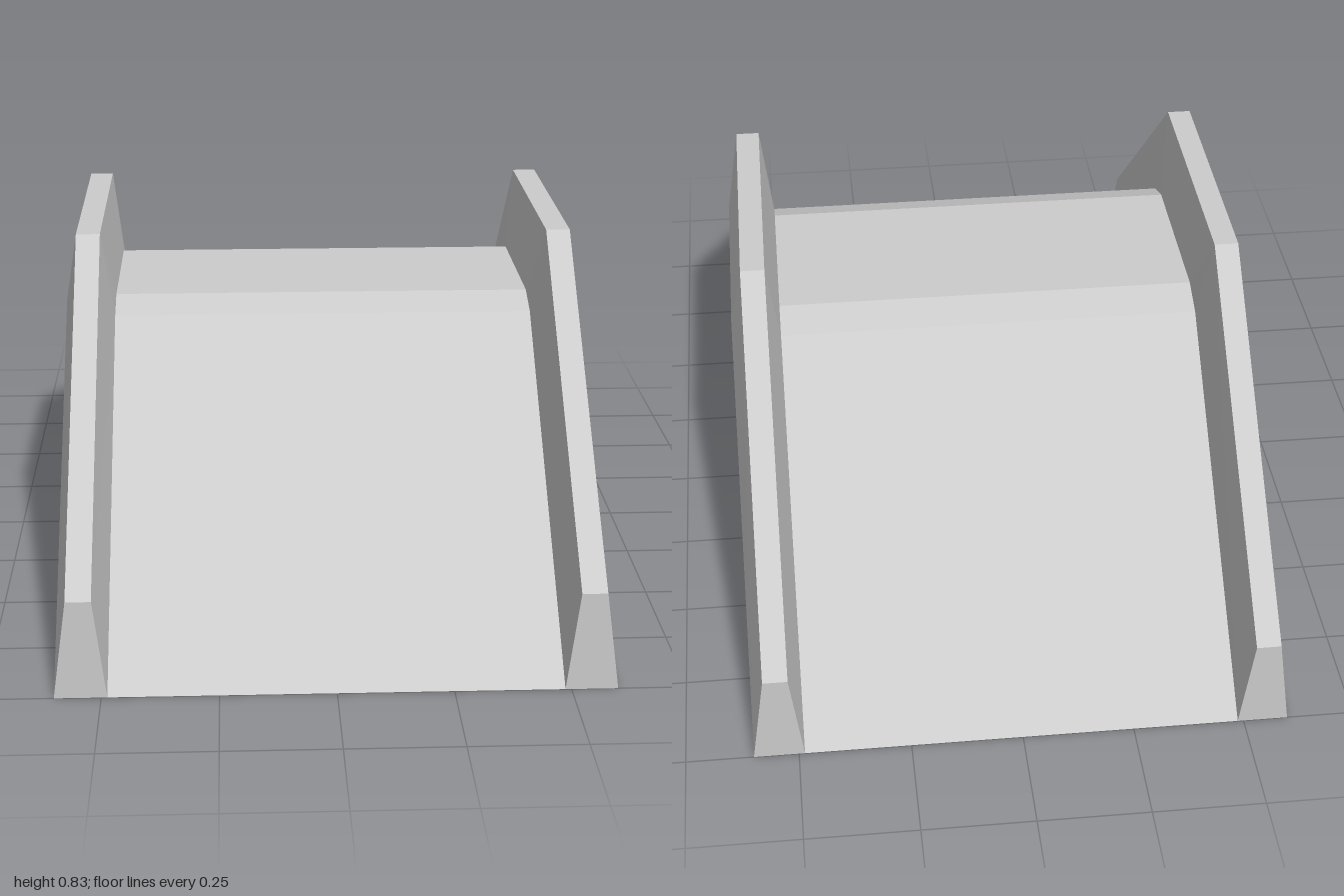
import * as THREE from 'three';

// Half of the cross-section: [x, which guide line it follows], from underside to deck
const SECTION = [[0.6, 'under'], [0.6, 'sill'], [0.57, 'rail'], [0.515, 'rail'], [0.487, 'deck']];

// Guide points [z, y] at the foot and on both sides of the deck bend
const FRONT = [
  { under: [0.85, 0], sill: [1, 0], rail: [1, 0.22], deck: [1, 0] },
  { under: [0.2, 0.577], sill: [0.25, 0.657], rail: [0.31, 0.832], deck: [0.28, 0.627] },
  { under: [0.2, 0.577], sill: [0.25, 0.657], rail: [0.31, 0.832], deck: [0.2, 0.657] },
];

// Full loop of points for one station; zSide mirrors front to back
function loopAt(station, zSide) {
  const half = (xSide) => SECTION.map(([x, line]) => {
    const [z, y] = station[line];
    return [x * xSide, y, z * zSide];
  });
  return [...half(-1), ...half(1).reverse()];
}

function bridgeGeometry() {
  const loops = [
    ...FRONT.map((s) => loopAt(s, 1)),
    ...[...FRONT].reverse().map((s) => loopAt(s, -1)),
  ];
  const n = loops[0].length;
  const index = [];
  const quad = (a, b, c, d) => index.push(a, b, c, a, c, d);

  // Skin between neighbouring loops
  for (let i = 0; i < loops.length - 1; i++) {
    for (let j = 0; j < n; j++) {
      const k = (j + 1) % n;
      quad(i * n + j, i * n + k, (i + 1) * n + k, (i + 1) * n + j);
    }
  }

  // Feet: two rail ends and the flat sole at each end
  const last = (loops.length - 1) * n;
  for (const [a, b, c, d] of [[1, 2, 3, 4], [5, 6, 7, 8], [0, 1, 8, 9]]) {
    quad(d, c, b, a);
    quad(last + a, last + b, last + c, last + d);
  }

  const indexed = new THREE.BufferGeometry();
  indexed.setAttribute('position', new THREE.Float32BufferAttribute(loops.flat(2), 3));
  indexed.setIndex(index);
  const geometry = indexed.toNonIndexed();
  geometry.computeVertexNormals();
  return geometry;
}

export function createModel() {
  const group = new THREE.Group();
  group.name = 'bridge';
  const material = new THREE.MeshStandardMaterial({ color: 0xcccccc, flatShading: true });
  const span = new THREE.Mesh(bridgeGeometry(), material);
  span.name = 'deckWithSideRails';
  group.add(span);
  return group;
}
